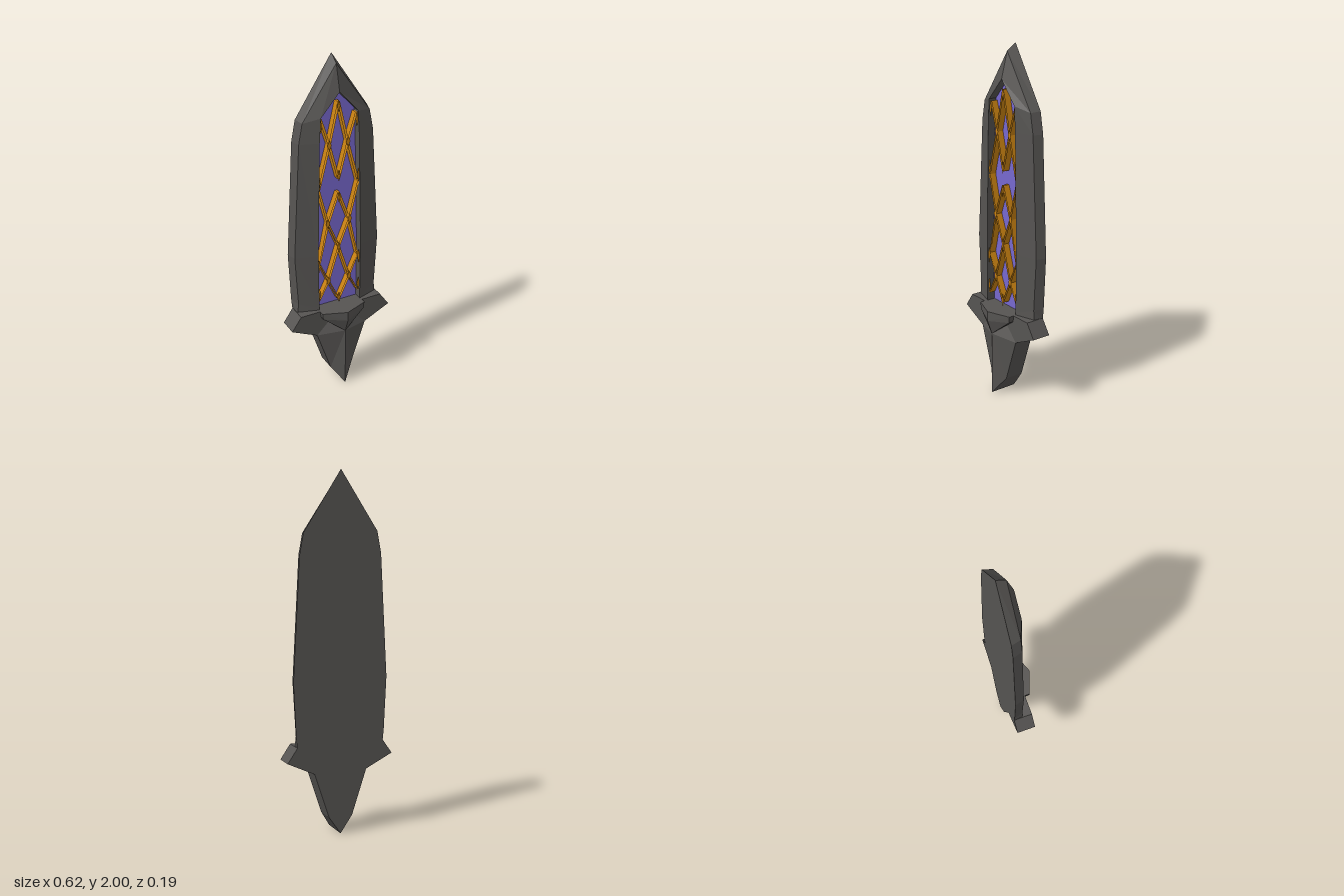
import * as THREE from 'three';

const BACK = -0.095, GLASS = -0.05, BAR = -0.012;

// flat-shaded mesh from a list of triangles, each three [x, y, z] corners
function facets(name, tris, material) {
  const geometry = new THREE.BufferGeometry();
  geometry.setAttribute('position', new THREE.Float32BufferAttribute(tris.flat(2), 3));
  geometry.computeVertexNormals();
  const mesh = new THREE.Mesh(geometry, material);
  mesh.name = name;
  return mesh;
}

const quad = (a, b, c, d) => [[a, b, c], [a, c, d]];
const flip = ([x, y, z]) => [-x, y, z];
const mirrored = (tris) => [...tris, ...tris.map(([a, b, c]) => [flip(a), flip(c), flip(b)])];

// right half of an outline, bottom to tip, carried down the left half
const ring = (half, z) => [...half, ...half.slice(0, -1).reverse().map(([x, y]) => [-x, y])].map(([x, y]) => [x, y, z]);

// band of quads between two matching rings
function band(a, b) {
  const tris = [];
  for (let i = 0; i < a.length - 1; i++) tris.push(...quad(a[i], a[i + 1], b[i + 1], b[i]));
  return tris;
}

function plate(name, points, z, material, facingBack = false) {
  const geometry = new THREE.ShapeGeometry(new THREE.Shape(points.map(([x, y]) => new THREE.Vector2(x, y))));
  if (facingBack) geometry.rotateY(Math.PI);
  const mesh = new THREE.Mesh(geometry, material);
  mesh.position.z = z;
  mesh.name = name;
  return mesh;
}

export function createModel() {
  const stone = new THREE.MeshStandardMaterial({ color: 0x565452 });
  const glass = new THREE.MeshStandardMaterial({ color: 0x7768cf });
  const lead = new THREE.MeshStandardMaterial({ color: 0xc98212, side: THREE.DoubleSide });
  stone.name = 'dark stone';
  glass.name = 'violet glass';
  lead.name = 'amber lattice';

  const model = new THREE.Group();
  model.name = 'archedWindow';

  // pointed frame: outer wall, bevel, sloped face and recess wall
  const outer = [[0.255, 0.5], [0.262, 0.57], [0.276, 0.87], [0.238, 1.55], [0.215, 1.67], [0, 2]];
  const ridge = [[0.25, 0.5], [0.243, 0.565], [0.26, 0.87], [0.222, 1.55], [0.2, 1.665], [0, 1.96]];
  const inner = [[0.13, 0.5], [0.13, 0.525], [0.132, 0.87], [0.118, 1.55], [0.11, 1.69], [0, 1.815]];
  const ridgeRing = ring(ridge, -0.04);
  const innerRing = ring(inner, -0.003);
  model.add(facets('frame', [
    ...band(ring(outer, BACK), ridgeRing),
    ...band(ridgeRing, innerRing),
    ...band(innerRing, ring(inner, GLASS)),
  ], stone));
  model.add(plate('frameBack', ring(outer, 0), BACK, stone, true));
  model.add(plate('glass', ring(inner, 0), GLASS, glass));

  // lattice: every bar is a pair of thin upright walls over the glass
  const bars = [
    [[0.128, 0.56], [0.065, 0.68], [0, 0.89], [-0.065, 1.05], [-0.124, 1.28]],
    [[0, 0.54], [0.065, 0.68], [0.128, 0.82]],
    [[0.128, 0.78], [0.065, 1.05], [0, 1.23]],
    [[0.122, 1.26], [0.055, 1.52], [0, 1.76]],
    [[0, 1.31], [0.055, 1.52], [0.106, 1.68]],
  ];
  const walls = [];
  for (const bar of bars) {
    for (let i = 0; i < bar.length - 1; i++) {
      for (const side of [-0.006, 0.006]) {
        const [p, q] = [bar[i], bar[i + 1]].map(([x, y]) => [THREE.MathUtils.clamp(x + side, -0.128, 0.128), y]);
        walls.push(...quad([...p, GLASS], [...q, GLASS], [...q, BAR], [...p, BAR]));
      }
    }
  }
  model.add(facets('latticeBars', mirrored(walls), lead));

  // small diamonds at the crossings, slivers where bars meet the frame
  const joints = [];
  const diamond = (x, y, w, h) => joints.push(...quad([x, y - h, BAR], [x + w, y, BAR], [x, y + h, BAR], [x - w, y, BAR]));
  for (const y of [0.555, 0.885, 1.2, 1.33, 1.735]) diamond(0, y, 0.009, 0.035);
  for (const side of [-1, 1]) {
    for (const [x, y] of [[0.065, 0.68], [0.068, 1.05], [0.056, 1.52]]) diamond(side * x, y, 0.013, 0.03);
    for (const [x, y] of [[0.124, 0.61], [0.126, 0.79], [0.12, 1.31], [0.108, 1.64]]) diamond(side * x, y, 0.009, 0.045);
  }
  model.add(facets('latticeJoints', joints, lead));

  // winged bracket with a raised centre ridge
  const bracket = [[0, 0], [0.07, 0.1], [0.155, 0.355], [0.312, 0.43], [0.255, 0.512]];
  const [foot, low, neck, wing, shoulder] = bracket.map(([x, y], i) => [x, y, i ? 0.015 : 0.065]);
  const backs = bracket.map(([x, y]) => [x, y, BACK]);
  const crest = [0, 0.37, 0.065], top = [0, 0.512, 0.015], topBack = [0, 0.512, BACK];
  model.add(facets('bracket', mirrored([
    ...band([...backs, topBack], [foot, low, neck, wing, shoulder, top]),
    [foot, low, crest], [low, neck, crest], [crest, neck, top],
    [neck, wing, shoulder], [neck, shoulder, top],
  ]), stone));
  model.add(plate('bracketBack', [...bracket, ...bracket.slice(1).reverse().map(([x, y]) => [-x, y])], BACK, stone, true));

  // projecting sill on top of the bracket
  const a = [0.135, 0.512, 0.01], b = [0.135, 0.512, 0.045], c = [0, 0.512, 0.095];
  const a2 = [0.13, 0.475, 0.01], b2 = [0.13, 0.475, 0.045], c2 = [0, 0.455, 0.095];
  const sillBack = [0, 0.512, 0.01];
  model.add(facets('sill', mirrored([
    [sillBack, c, b], [sillBack, b, a],
    ...quad(c2, b2, b, c),
    ...quad(b2, a2, a, b),
    [crest, b2, c2], [crest, a2, b2],
  ]), stone));

  return model;
}
